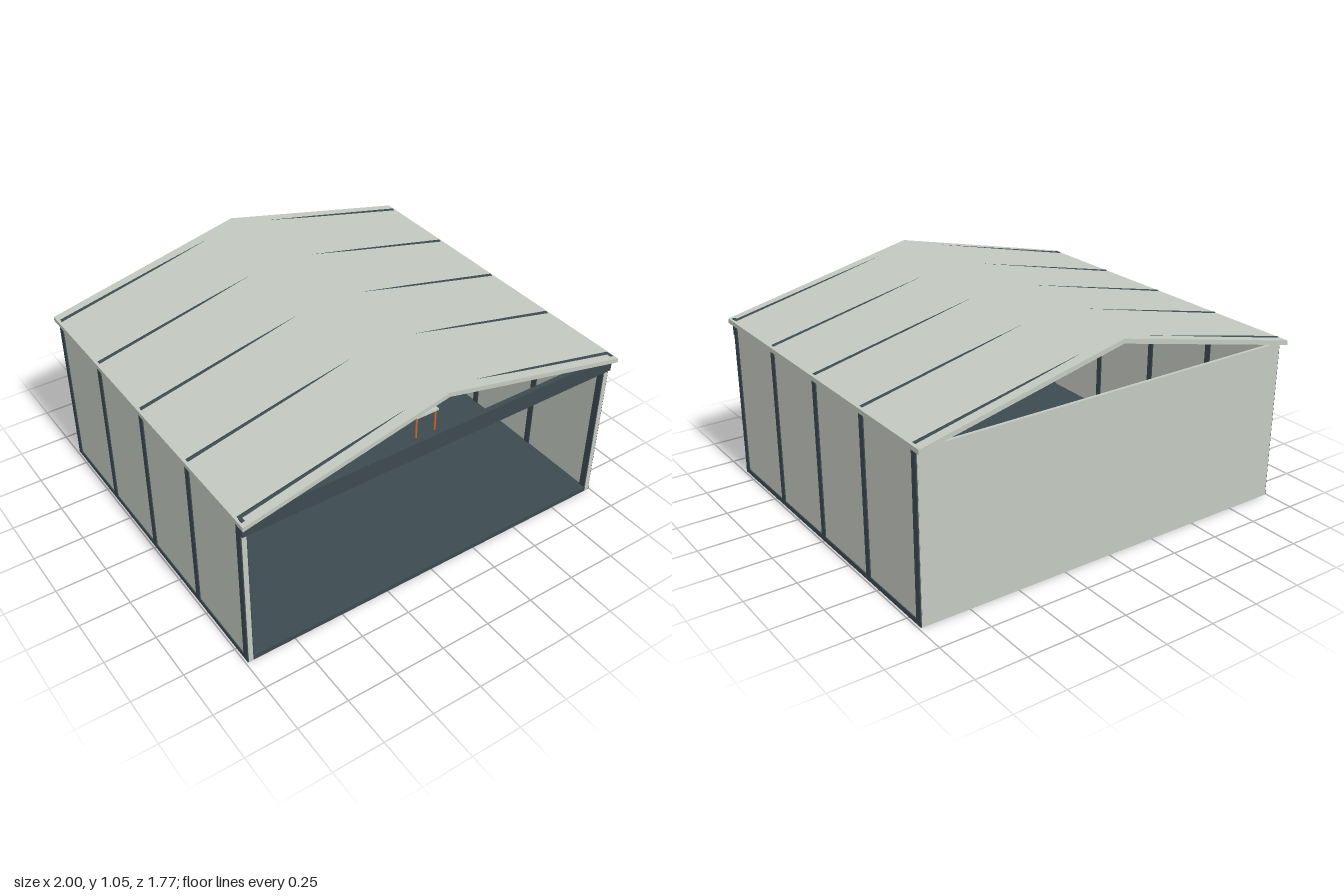
import * as THREE from 'three';

export function createModel() {
  const model = new THREE.Group();
  const paint = (color) => new THREE.MeshStandardMaterial({ color });
  const pale = paint(0xc3c9c1), steel = paint(0x3c4a50), orange = paint(0xc66a32);
  const rubber = paint(0x1f2527), hubGrey = paint(0x353d40);

  const add = (name, geometry, material, x = 0, y = 0, z = 0, parent = model) => {
    const mesh = new THREE.Mesh(geometry, material);
    mesh.name = name;
    mesh.position.set(x, y, z);
    parent.add(mesh);
    return mesh;
  };
  // Box given by its minimum and maximum corners
  const box = (name, material, [x0, y0, z0], [x1, y1, z1], parent = model) =>
    add(name, new THREE.BoxGeometry(x1 - x0, y1 - y0, z1 - z0), material,
      (x0 + x1) / 2, (y0 + y1) / 2, (z0 + z1) / 2, parent);
  // Round bar between two points
  const bar = (name, material, a, b, radius, parent = model) => {
    const from = new THREE.Vector3(...a), to = new THREE.Vector3(...b);
    const mesh = add(name, new THREE.CylinderGeometry(radius, radius, from.distanceTo(to), 12), material, 0, 0, 0, parent);
    mesh.position.copy(from).add(to).multiplyScalar(0.5);
    mesh.quaternion.setFromUnitVectors(new THREE.Vector3(0, 1, 0), to.sub(from).normalize());
    return mesh;
  };

  // Shell
  box('floor', steel, [-0.992, 0.004, -0.848], [0.992, 0.028, 0.848]);
  box('backWall', pale, [-0.985, 0.004, -0.85], [0.985, 0.805, -0.835]);
  for (const s of [-1, 1]) {
    const wall = box('sideWall', pale, [-0.011, 0.004, -0.849], [0.011, 0.805, 0.849]);
    wall.position.x = s * 0.976;
  }

  // Gabled roof sheet
  const profile = new THREE.Shape([
    [-1, 0.8], [0, 1.028], [1, 0.8], [1, 0.822], [0, 1.05], [-1, 0.822],
  ].map(([x, y]) => new THREE.Vector2(x, y)));
  const roof = new THREE.ExtrudeGeometry(profile, { depth: 1.77, bevelEnabled: false });
  add('roof', roof, pale, 0, 0, -0.885);

  // Portal frames: posts and rafters that just break the roof surface
  for (const z of [-0.829, -0.415, 0, 0.415, 0.829]) {
    const frame = new THREE.Group();
    frame.name = 'portalFrame';
    model.add(frame);
    for (const s of [-1, 1]) {
      const post = box('post', steel, [-0.016, 0.004, z - 0.017], [0.016, 0.812, z + 0.017], frame);
      post.position.x = s * 0.976;
      bar('rafter', steel, [s * 0.985, 0.816, z], [0, 1.034, z], 0.0145, frame);
    }
  }

  // Front header beam
  box('headerBeam', steel, [-0.99, 0.745, 0.835], [0.99, 0.828, 0.86]);

  // Overhead crane
  const crane = new THREE.Group();
  crane.name = 'crane';
  model.add(crane);
  box('craneBeam', orange, [-0.85, 0.668, -0.018], [0.85, 0.7, 0.018], crane);
  box('trolley', steel, [0.07, 0.63, -0.045], [0.21, 0.698, 0.045], crane);
  bar('cable', rubber, [0.14, 0.63, 0], [0.14, 0.39, 0], 0.004, crane);
  bar('hook', orange, [0.136, 0.392, 0], [0.174, 0.368, 0], 0.009, crane);

  // Workbenches with tool boards
  for (const s of [-1, 1]) {
    const bench = new THREE.Group();
    bench.name = 'workbench';
    bench.position.x = s * 0.655;
    model.add(bench);
    box('benchTop', pale, [-0.255, 0.138, -0.78], [0.255, 0.162, -0.46], bench);
    for (const x of [-0.2, 0.2])
      for (const z of [-0.75, -0.49])
        box('benchLeg', steel, [x - 0.009, 0.02, z - 0.009], [x + 0.009, 0.14, z + 0.009], bench);
    box('toolBoard', steel, [-0.255, 0.172, -0.83], [0.255, 0.345, -0.805], bench);
    for (let i = 0; i < 6; i++)
      bar('tool', orange, [-0.185 + i * 0.071, 0.22, -0.797], [-0.185 + i * 0.071, 0.302, -0.797], 0.009, bench);
  }

  // Row of spare wheels
  for (let i = 0; i < 3; i++) {
    const wheel = new THREE.Group();
    wheel.name = 'wheel';
    wheel.position.set(-0.71 + i * 0.17, 0.106, -0.27);
    model.add(wheel);
    add('tyre', new THREE.TorusGeometry(0.052, 0.035, 16, 36), rubber, 0, 0, 0, wheel);
    const hub = add('hub', new THREE.CylinderGeometry(0.045, 0.045, 0.05, 24), hubGrey, 0, 0, 0, wheel);
    hub.rotation.x = Math.PI / 2;
  }

  // Low trestles on skid feet
  for (const [x, z] of [[0.567, 0.005], [0.755, -0.195]]) {
    const trestle = new THREE.Group();
    trestle.name = 'trestle';
    trestle.position.set(x, 0, z);
    model.add(trestle);
    for (const dx of [-0.062, 0.062]) {
      box('skid', orange, [dx - 0.005, 0, -0.075], [dx + 0.005, 0.01, 0.075], trestle);
      for (const dz of [-0.06, 0.06])
        bar('trestleLeg', orange, [dx, 0.004, dz], [dx, 0.17, dz], 0.006, trestle);
    }
    box('trestleTop', pale, [-0.07, 0.162, -0.075], [0.07, 0.174, 0.075], trestle);
  }

  return model;
}
